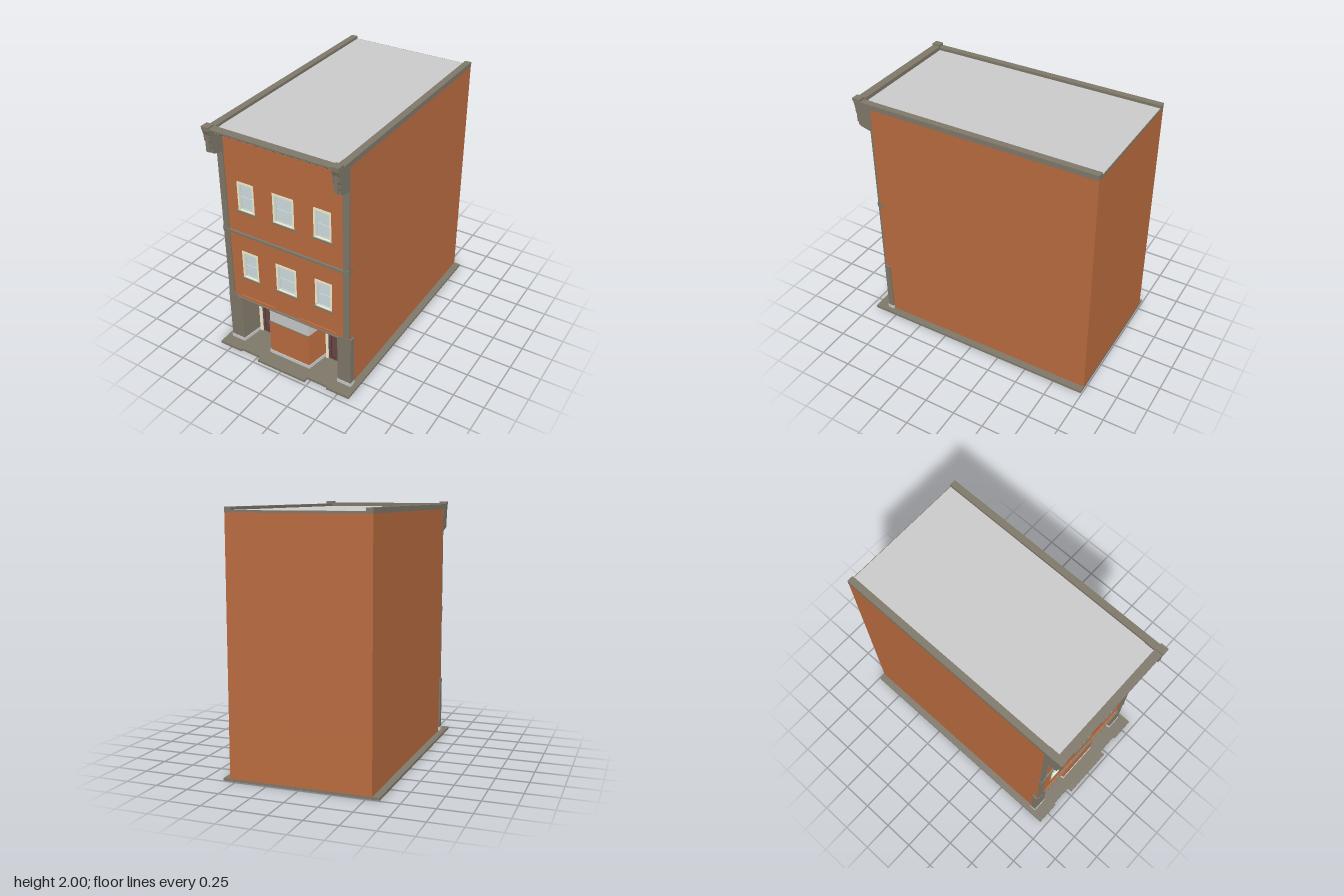
import * as THREE from 'three';

const mat = (color) => new THREE.MeshStandardMaterial({ color, flatShading: true });

export function createModel() {
  const model = new THREE.Group();
  const brick = mat(0xbc6d40), stone = mat(0x80796b), grey = mat(0xcccccc);
  const cream = mat(0xf6f3d4), glass = mat(0xd2e1e4), maroon = mat(0x6b4747), darkMaroon = mat(0x523434);

  const add = (name, geometry, material, parent = model) => {
    const mesh = new THREE.Mesh(geometry, material);
    mesh.name = name;
    parent.add(mesh);
    return mesh;
  };
  // box given by its min and max on each axis
  const box = (name, material, x0, x1, y0, y1, z0, z1, parent) => {
    const g = new THREE.BoxGeometry(x1 - x0, y1 - y0, z1 - z0);
    g.translate((x0 + x1) / 2, (y0 + y1) / 2, (z0 + z1) / 2);
    return add(name, g, material, parent);
  };
  // floor plan of [x, z] points raised from y0 to y1
  const plan = (name, material, pts, y0, y1) => {
    const shape = new THREE.Shape(pts.map(([x, z]) => new THREE.Vector2(x, -z)));
    const g = new THREE.ExtrudeGeometry(shape, { depth: y1 - y0, bevelEnabled: false });
    g.rotateX(-Math.PI / 2).translate(0, y0, 0);
    return add(name, g, material);
  };
  // side profile of [z, y] points swept from x0 to x1
  const profile = (name, material, pts, x0, x1) => {
    const shape = new THREE.Shape(pts.map(([z, y]) => new THREE.Vector2(-z, y)));
    const g = new THREE.ExtrudeGeometry(shape, { depth: x1 - x0, bevelEnabled: false });
    g.rotateY(Math.PI / 2).translate(x0, 0, 0);
    return add(name, g, material);
  };
  // completes a half outline (x > 0, from back to front) by mirroring it
  const mirrored = (half) => [...half, ...half.map(([x, z]) => [-x, z]).reverse()];
  const rect = (x0, x1, y0, y1, Type = THREE.Path) => {
    const p = new Type();
    p.moveTo(x0, y0).lineTo(x1, y0).lineTo(x1, y1).lineTo(x0, y1).closePath();
    return p;
  };

  // pavement slab with stepped front edge
  plan('pavement', stone, mirrored([[0.6, -0.99], [0.6, 0.95], [0.4, 0.95], [0.4, 0.935],
    [0.22, 0.935], [0.22, 0.975]]), 0, 0.02);

  // ground floor walls around the recessed entrance
  plan('groundFloorWalls', brick, mirrored([[0.545, -0.99], [0.545, 0.84], [0.52, 0.84],
    [0.52, 0.655]]), 0.02, 0.48);

  // upper body and front wall with window openings
  box('upperBody', brick, -0.545, 0.545, 0.48, 1.94, -0.99, 0.825);
  const windows = [];
  for (const y of [0.68, 1.29]) {
    for (const [x, w] of [[-0.325, 0.145], [0, 0.18], [0.325, 0.145]]) windows.push({ x, y, w, h: 0.25 });
  }
  const wall = rect(-0.545, 0.545, 0.48, 1.94, THREE.Shape);
  for (const { x, y, w, h } of windows) wall.holes.push(rect(x - w / 2, x + w / 2, y, y + h));
  const wallGeo = new THREE.ExtrudeGeometry(wall, { depth: 0.02, bevelEnabled: false });
  add('frontWall', wallGeo.translate(0, 0, 0.825), brick);

  // sash windows
  for (const { x, y, w, h } of windows) {
    const win = new THREE.Group();
    win.name = 'window';
    model.add(win);
    const l = x - w / 2, r = x + w / 2, mid = y + 0.118;
    box('glass', glass, l, r, y, y + h, 0.822, 0.829, win);
    const frame = rect(l, r, y, y + h, THREE.Shape);
    frame.holes.push(rect(l + 0.015, r - 0.015, y + 0.012, y + h - 0.02));
    const fg = new THREE.ExtrudeGeometry(frame, { depth: 0.021, bevelEnabled: false });
    add('windowFrame', fg.translate(0, 0, 0.826), cream, win);
    const sash = rect(l + 0.015, r - 0.015, y + 0.012, y + h - 0.02, THREE.Shape);
    sash.holes.push(rect(l + 0.022, r - 0.022, y + 0.019, mid - 0.003));
    sash.holes.push(rect(l + 0.022, r - 0.022, mid + 0.003, y + h - 0.027));
    const sg = new THREE.ExtrudeGeometry(sash, { depth: 0.006, bevelEnabled: false });
    add('sash', sg.translate(0, 0, 0.828), glass, win);
    box('sill', stone, l - 0.018, r + 0.018, y - 0.008, y + 0.004, 0.83, 0.855, win);
  }

  // string course between the upper floors
  box('stringCourse', stone, -0.547, 0.547, 1.08, 1.1, 0.8, 0.862);

  // central shop bay, tapering outward toward the back
  const bay = (o) => mirrored([[0.215 + o, 0.65], [0.18 + o, 0.845 + o]]);
  plan('bayPlinth', grey, bay(0.005), 0.02, 0.05);
  plan('bayWall', brick, bay(0), 0.05, 0.34);
  plan('bayGlass', grey, bay(-0.004), 0.34, 0.48);
  box('bayGlassRail', stone, -0.182, 0.182, 0.337, 0.343, 0.835, 0.848);

  // shopfront head moulding
  profile('shopCornice', stone, [[0.83, 0.465], [0.855, 0.465], [0.865, 0.472], [0.865, 0.48],
    [0.83, 0.48]], -0.46, 0.46);

  for (const s of [-1, 1]) {
    const side = (name, m, x0, x1, ...rest) =>
      box(name, m, Math.min(s * x0, s * x1), Math.max(s * x0, s * x1), ...rest);
    const mx = (pts) => pts.map(([x, z]) => [s * x, z]);

    // entrance pier with splayed inner face
    plan('entrancePier', stone, mx([[0.44, 0.848], [0.557, 0.848], [0.557, 0.8], [0.53, 0.8],
      [0.53, 0.65], [0.41, 0.65]]), 0.02, 0.478);
    plan('pierPlinth', grey, mx([[0.436, 0.852], [0.56, 0.852], [0.56, 0.798], [0.53, 0.798],
      [0.53, 0.65], [0.406, 0.65]]), 0.02, 0.05);

    // door, surround and transom
    side('doorSurround', cream, 0.225, 0.245, 0.02, 0.46, 0.65, 0.675);
    side('doorSurround', cream, 0.385, 0.41, 0.02, 0.46, 0.65, 0.675);
    side('transom', cream, 0.245, 0.385, 0.4, 0.46, 0.65, 0.673);
    side('door', maroon, 0.245, 0.385, 0.02, 0.4, 0.65, 0.664);
    side('doorPanelMoulding', darkMaroon, 0.268, 0.362, 0.045, 0.375, 0.66, 0.667);
    side('doorPanel', maroon, 0.278, 0.352, 0.055, 0.365, 0.66, 0.67);

    // brick lintel above the door
    side('doorLintel', brick, 0.115, 0.435, 0.48, 0.5, 0.84, 0.855);

    // corner pilaster in two lifts with base and cap blocks
    side('pilaster', stone, 0.495, 0.546, 0.48, 1.075, 0.84, 0.855);
    side('pilaster', stone, 0.495, 0.546, 1.105, 1.76, 0.84, 0.855);
    for (const y of [0.48, 1.068, 1.1]) side('pilasterBlock', stone, 0.493, 0.548, y, y + 0.012, 0.835, 0.859);

    // side parapet coping
    side('parapet', stone, 0.495, 0.547, 1.94, 1.98, -0.99, 0.94);

    // scrolled corner bracket with top block
    const x0 = s > 0 ? 0.492 : -0.547;
    profile('cornerBracket', stone, [[0.84, 1.755], [0.88, 1.762], [0.94, 1.778], [0.957, 1.79],
      [0.955, 1.82], [0.963, 1.835], [0.963, 1.87], [0.972, 1.885], [0.975, 1.93], [0.985, 1.965],
      [0.985, 1.98], [0.84, 1.98]], x0, x0 + 0.055);
    side('bracketRib', stone, 0.505, 0.534, 1.8, 1.93, 0.9, 0.977);
    side('bracketCap', stone, 0.49, 0.55, 1.975, 2, 0.925, 0.99);
  }

  // front cornice
  profile('cornice', stone, [[0.83, 1.915], [0.875, 1.918], [0.93, 1.94], [0.94, 1.96],
    [0.975, 1.966], [0.985, 1.975], [0.985, 1.988], [0.92, 1.988], [0.92, 1.94], [0.83, 1.94]], -0.5, 0.5);

  // flat roof and rear edge
  box('roof', grey, -0.5, 0.5, 1.93, 1.958, -0.985, 0.925);
  box('rearRoofEdge', stone, -0.5, 0.5, 1.94, 1.957, -0.99, -0.984);

  return model;
}
